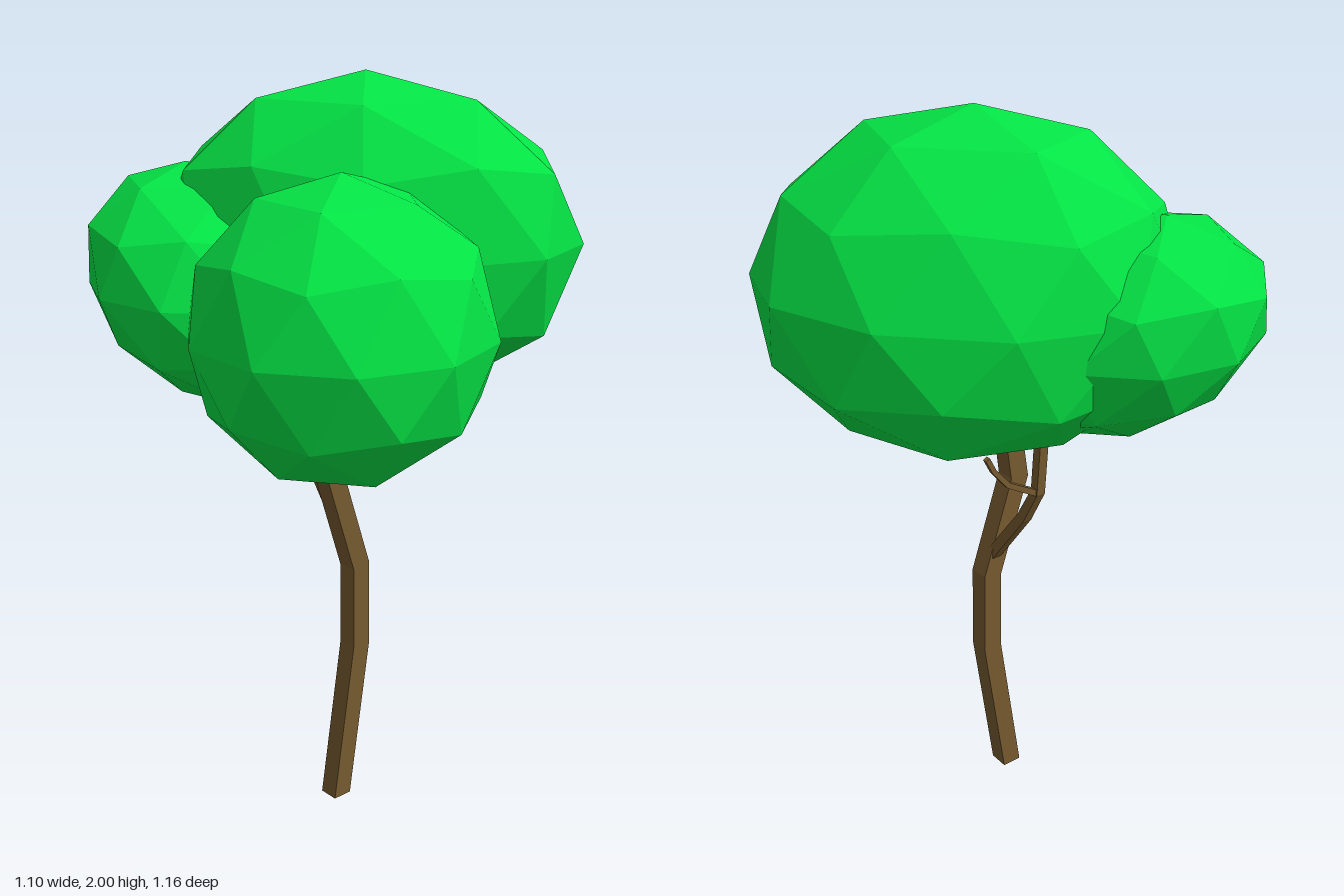
import * as THREE from 'three';

const leafMat = new THREE.MeshStandardMaterial({ color: 0x04e445, flatShading: true });
const barkMat = new THREE.MeshStandardMaterial({ color: 0x765a30, flatShading: true });

// Faceted ball with a vertex at each pole, leaned sideways and stretched to an ellipsoid
function foliage(name, position, radii, turn = 0, leanX = 0, leanZ = 0) {
  const geo = new THREE.IcosahedronGeometry(1, 1);
  geo.rotateZ(-Math.atan(2 / (1 + Math.sqrt(5))));
  const p = geo.attributes.position;
  for (let i = 0; i < p.count; i++) {
    const y = p.getY(i);
    p.setXYZ(i, p.getX(i) + leanX * y, y, p.getZ(i) + leanZ * y);
  }
  const mesh = new THREE.Mesh(geo, leafMat);
  mesh.name = name;
  mesh.position.set(...position);
  mesh.scale.set(...radii);
  mesh.rotation.y = turn;
  return mesh;
}

// Square-section limb along a bent path; ref is the normal of the bending plane
function limb(name, path, widths, ref) {
  const pts = path.map(p => new THREE.Vector3(...p));
  const last = pts.length - 1;
  const pos = [], index = [];
  pts.forEach((p, i) => {
    const t = new THREE.Vector3();
    if (i > 0) t.add(p.clone().sub(pts[i - 1]).normalize());
    if (i < last) t.add(pts[i + 1].clone().sub(p).normalize());
    if (p.y === 0) t.set(0, 1, 0); // flat foot on the ground
    t.normalize();
    const side = t.clone().cross(ref).normalize();
    const up = t.clone().cross(side);
    const h = widths[i] / 2;
    for (const [a, b] of [[1, 1], [-1, 1], [-1, -1], [1, -1]]) {
      const c = p.clone().addScaledVector(side, a * h).addScaledVector(up, b * h);
      pos.push(c.x, c.y, c.z);
    }
    if (i < last) {
      for (let j = 0; j < 4; j++) {
        const a = i * 4 + j, b = i * 4 + (j + 1) % 4;
        index.push(a, b, b + 4, a, b + 4, a + 4);
      }
    }
  });
  const e = last * 4;
  index.push(0, 2, 1, 0, 3, 2, e, e + 1, e + 2, e, e + 2, e + 3); // end caps
  const geo = new THREE.BufferGeometry();
  geo.setAttribute('position', new THREE.Float32BufferAttribute(pos, 3));
  geo.setIndex(index);
  geo.computeVertexNormals();
  const mesh = new THREE.Mesh(geo, barkMat);
  mesh.name = name;
  return mesh;
}

export function createModel() {
  const tree = new THREE.Group();
  tree.name = 'tree';
  const X = new THREE.Vector3(1, 0, 0), Z = new THREE.Vector3(0, 0, 1);

  // Trunk and branches
  tree.add(
    limb('trunk',
      [[-0.05, 0, 0.012], [0.02, 0.45, 0.012], [0.02, 0.69, 0.012], [-0.07, 0.97, 0.012], [-0.03, 1.25, 0.012]],
      [0.056, 0.056, 0.056, 0.056, 0.052], Z),
    limb('branch',
      [[0.006, 0.75, 0], [0.003, 0.93, -0.13], [0.002, 1.03, -0.183], [0, 1.23, -0.195]],
      [0.03, 0.028, 0.026, 0.026], X),
    limb('twig',
      [[0, 1.025, -0.183], [0.1, 1.085, -0.183], [0.145, 1.14, -0.183], [0.165, 1.18, -0.183]],
      [0.017, 0.015, 0.013, 0.013], Z),
  );

  // Crown: three overlapping clumps
  tree.add(
    foliage('frontFoliage', [-0.19, 1.418, 0.2], [0.383, 0.383, 0.385]),
    foliage('topFoliage', [0.1, 1.565, -0.012], [0.328, 0.435, 0.54], Math.PI * 1.25, 0.15, 0.03),
    foliage('backFoliage', [-0.215, 1.458, -0.243], [0.312, 0.308, 0.345], Math.PI / 4, 0.16, -0.26),
  );
  return tree;
}
